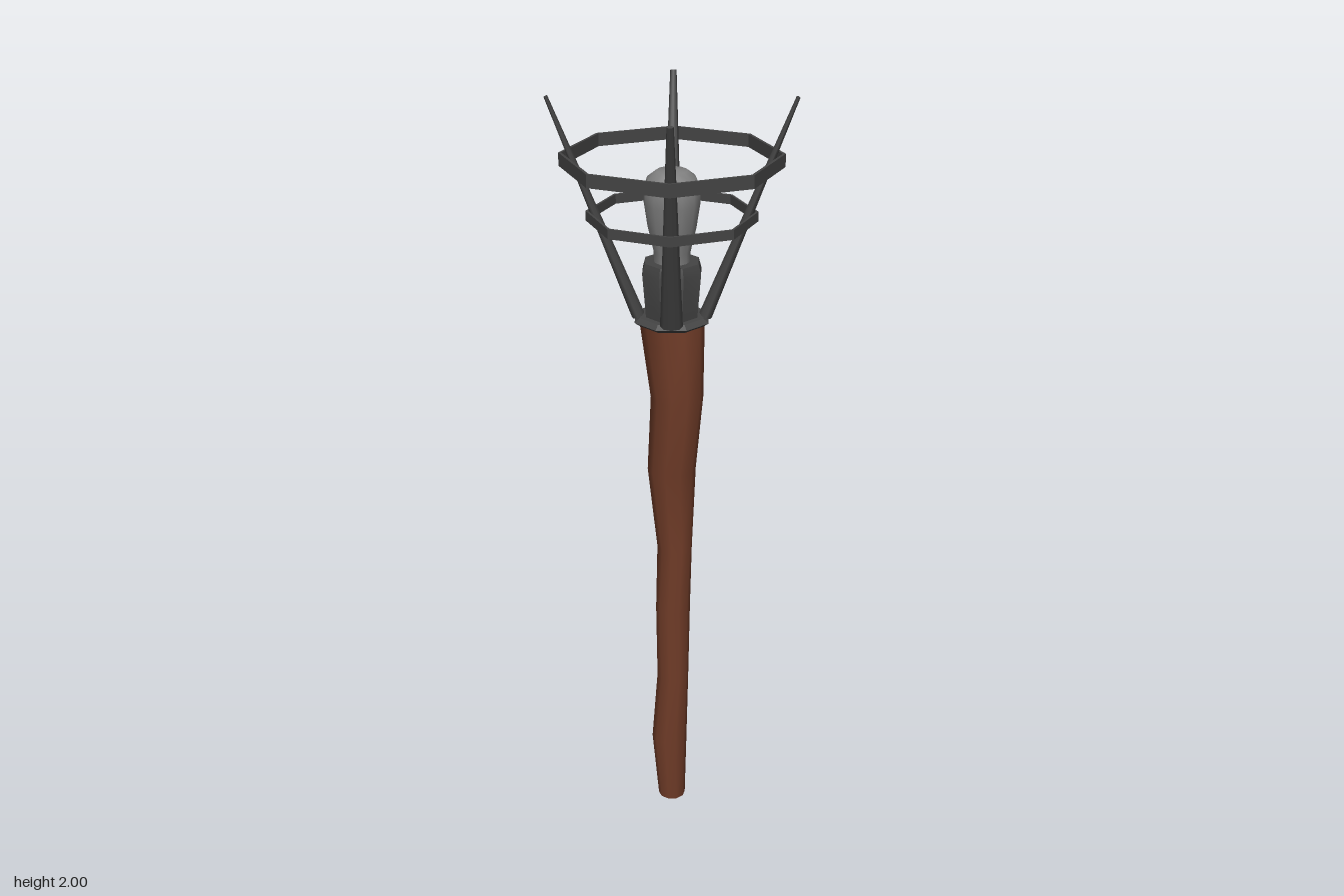
import * as THREE from 'three';
import { toCreasedNormals } from 'three/addons/utils/BufferGeometryUtils.js';

const wood = new THREE.MeshStandardMaterial({ color: 0x703c28 });
const iron = new THREE.MeshStandardMaterial({ color: 0x444444 });
const glow = new THREE.MeshStandardMaterial({ color: 0x808080 });

function add(parent, name, geometry, material) {
  const mesh = new THREE.Mesh(geometry, material);
  mesh.name = name;
  parent.add(mesh);
  return mesh;
}

const lathe = (points, sides) =>
  new THREE.LatheGeometry(points.map(([r, y]) => new THREE.Vector2(r, y)), sides);

// Crooked shaft: each section is [y, centre x, centre z, radius x, radius z]
function shaftGeometry(sections, sides) {
  const geo = new THREE.CylinderGeometry(1, 1, 1, sides, sections.length - 1);
  const pos = geo.attributes.position;
  for (let i = 0; i < pos.count; i++) {
    const k = Math.round((pos.getY(i) + 0.5) * (sections.length - 1));
    const [y, cx, cz, rx, rz] = sections[k];
    pos.setXYZ(i, cx + pos.getX(i) * rx, y, cz + pos.getZ(i) * rz);
  }
  return toCreasedNormals(geo, 0.9);
}

// Octagonal band with flat sides facing the axes
function bandGeometry(flatRadius, height, thickness) {
  const k = 1 / Math.cos(Math.PI / 8);
  const outer = flatRadius * k, inner = (flatRadius - thickness) * k, h = height / 2;
  const geo = lathe([[inner, -h], [outer, -h], [outer, h], [inner, h], [inner, -h]], 8);
  return toCreasedNormals(geo.rotateY(Math.PI / 8), 0.3);
}

export function createModel() {
  const torch = new THREE.Group();
  torch.name = 'torch';

  // Wooden handle
  add(torch, 'handle', shaftGeometry([
    [0, 0, 0, 0.037, 0.037],
    [0.2, -0.007, 0, 0.048, 0.047],
    [0.4, 0.003, 0, 0.042, 0.047],
    [0.62, 0.001, 0.006, 0.046, 0.044],
    [0.8, 0.009, -0.003, 0.045, 0.053],
    [1.03, 0.002, -0.006, 0.063, 0.06],
    [1.24, 0.007, 0.018, 0.066, 0.072],
    [1.445, 0.001, -0.002, 0.082, 0.082],
  ], 10), wood);

  // Collar plate and socket holding the head
  add(torch, 'collar', toCreasedNormals(
    lathe([[0, 1.436], [0.085, 1.436], [0.099, 1.446], [0.085, 1.457], [0, 1.457]], 8), 0.3), iron);
  add(torch, 'socket', toCreasedNormals(
    lathe([[0.068, 1.45], [0.078, 1.57], [0.071, 1.595], [0, 1.595]], 8), 0.6), iron);

  // Rounded head
  add(torch, 'head', lathe([
    [0.045, 1.585], [0.046, 1.62], [0.06, 1.68], [0.069, 1.74], [0.069, 1.775],
    [0.06, 1.803], [0.038, 1.82], [0, 1.824],
  ], 12), glow);

  // Cage bands
  add(torch, 'lowerBand', bandGeometry(0.193, 0.024, 0.006), iron).position.y = 1.707;
  add(torch, 'upperBand', bandGeometry(0.25, 0.032, 0.007), iron).position.y = 1.845;

  // Four flattened, tapering prongs leaning outward
  const base = new THREE.Vector3(0.084, 1.455, 0);
  const tip = new THREE.Vector3(0.296, 1.995, 0);
  const lean = Math.atan2(tip.x - base.x, tip.y - base.y);
  const prong = new THREE.CylinderGeometry(0.008, 0.028, base.distanceTo(tip), 8);
  prong.scale(0.6, 1, 1).rotateZ(-lean);
  const middle = base.clone().add(tip).multiplyScalar(0.5);
  prong.translate(middle.x, middle.y, middle.z);
  for (let i = 0; i < 4; i++) {
    add(torch, 'prong', prong, iron).rotation.y = -0.385 + i * Math.PI / 2;
  }
  return torch;
}
